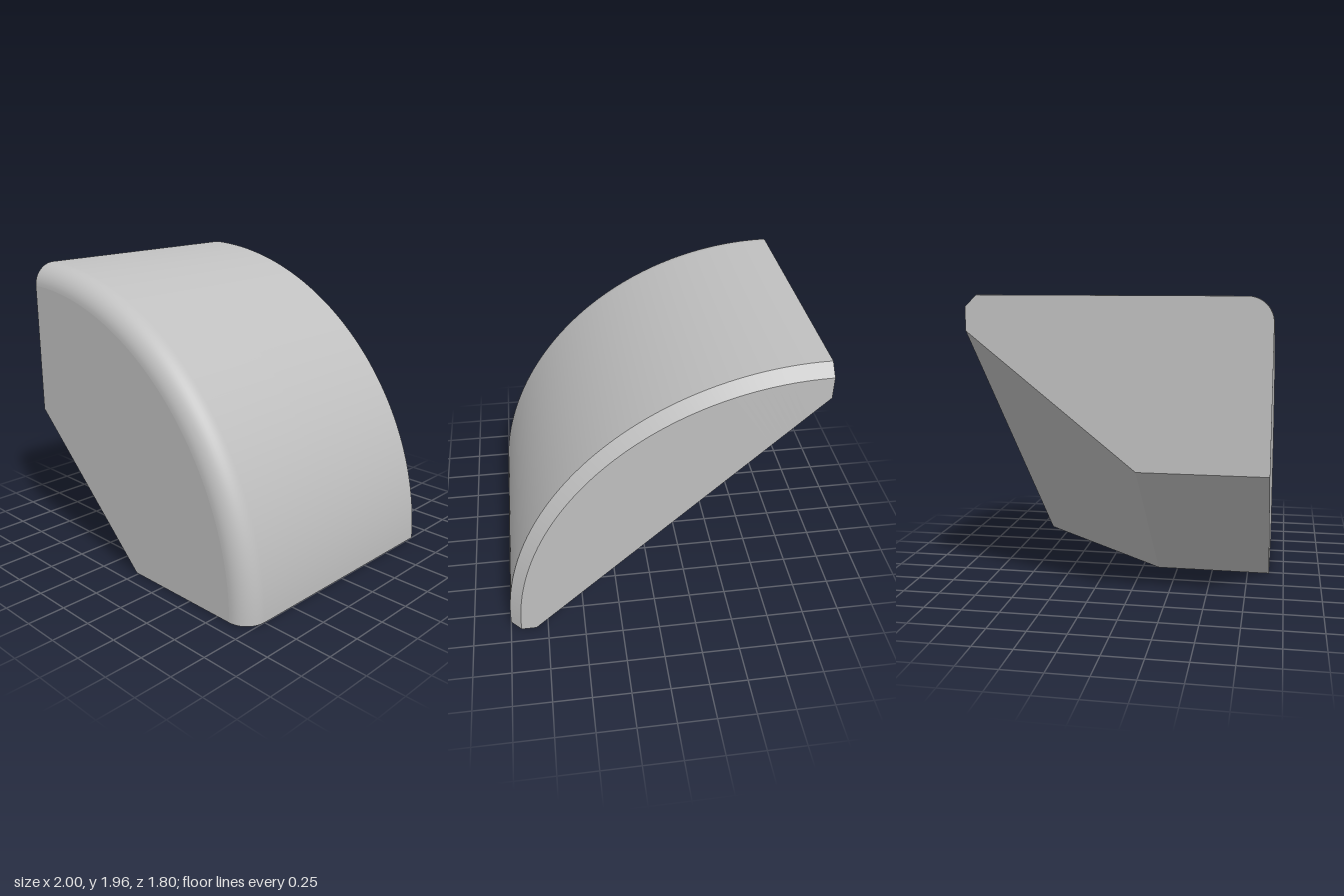
import * as THREE from 'three';

const AXIS_X = -1, RX = 2, RY = 1.96;
const BACK = -0.9, FRONT = 0.9, KINK = 0.115;
const CHAMFER = 0.07, FILLET = 0.15, SEGMENTS = 72;

// Surface through rows of points; smooth within one surface, sharp between surfaces.
function surface(rows) {
  const n = rows[0].length, index = [];
  for (let i = 0; i < rows.length - 1; i++) {
    for (let j = 0; j < n - 1; j++) {
      const a = i * n + j, b = a + 1, c = a + n, d = c + 1;
      index.push(a, b, c, b, d, c);
    }
  }
  const geometry = new THREE.BufferGeometry().setFromPoints(rows.flat());
  geometry.setIndex(index);
  geometry.computeVertexNormals();
  return geometry;
}

// Outer arc at depth z, pulled inward by inset; runs from the floor to the top.
function arc({ z, inset }) {
  return Array.from({ length: SEGMENTS + 1 }, (_, j) => {
    const t = (j / SEGMENTS) * Math.PI / 2;
    return new THREE.Vector3(AXIS_X + (RX - inset) * Math.cos(t), (RY - inset) * Math.sin(t), z);
  });
}

// Straight inner edge at depth z; it slopes outward behind the kink.
function innerEdge({ z }) {
  const k = Math.max(0, (KINK - z) / (KINK - BACK));
  const right = new THREE.Vector3(-0.02 + 0.85 * k, 0, z);
  const left = new THREE.Vector3(AXIS_X, 0.93 + 0.82 * k, z);
  return { right, left };
}

export function createModel() {
  const group = new THREE.Group();
  const grey = new THREE.MeshStandardMaterial({ color: 0xc0c0c0 });
  grey.name = 'light grey';
  const add = (name, rows) => {
    const mesh = new THREE.Mesh(surface(rows), grey);
    mesh.name = name;
    group.add(mesh);
  };

  // Depth stations: back chamfer, straight barrel, rounded front edge
  const back = { z: BACK, inset: CHAMFER };
  const chamferEnd = { z: BACK + CHAMFER, inset: 0 };
  const kink = { z: KINK, inset: 0 };
  const fillet = [];
  for (let i = 0; i <= 12; i++) {
    const t = (i / 12) * Math.PI / 2;
    fillet.push({ z: FRONT - FILLET * (1 - Math.sin(t)), inset: FILLET * (1 - Math.cos(t)) });
  }
  const front = fillet[12];
  const stations = [back, chamferEnd, kink, ...fillet];

  // Curved outside
  add('backChamfer', [back, chamferEnd].map(arc));
  add('outerShell', stations.slice(1).map(arc));

  // Flat ends
  const innerRow = (s) => {
    const { right, left } = innerEdge(s);
    return Array.from({ length: SEGMENTS + 1 }, (_, j) => right.clone().lerp(left, j / SEGMENTS));
  };
  add('frontFace', [arc(front), innerRow(front)]);
  add('backFace', [innerRow(back), arc(back)]);

  // Side wall and base
  add('sideWall', stations.map((s) => [arc(s)[SEGMENTS], innerEdge(s).left]));
  add('base', stations.map((s) => [innerEdge(s).right, arc(s)[0]]));

  // Inner faces: slanted behind the kink, straight in front of it
  const innerPair = (s) => [innerEdge(s).left, innerEdge(s).right];
  add('innerSlant', [back, kink].map(innerPair));
  add('innerWall', [kink, front].map(innerPair));

  return group;
}
